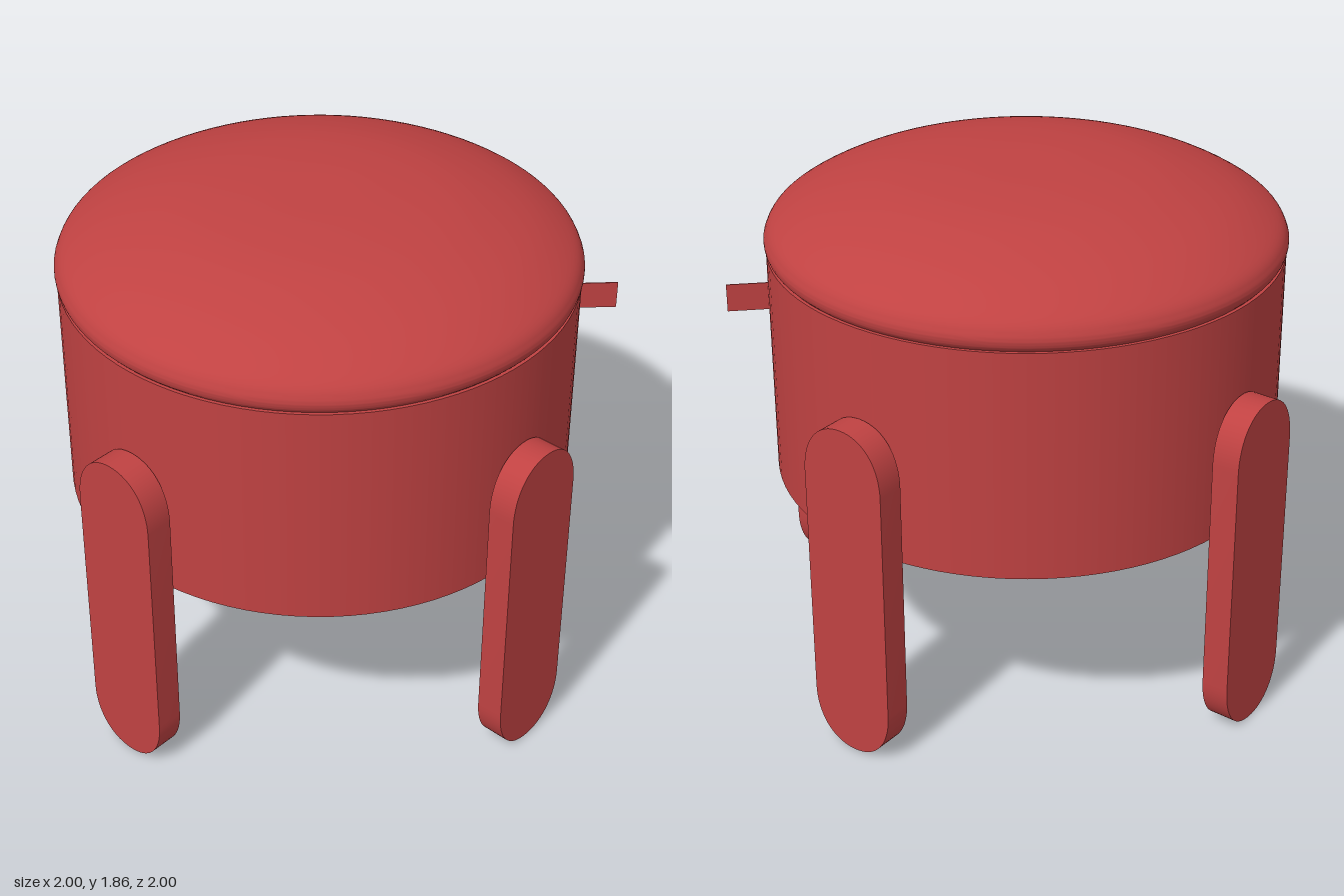
import * as THREE from 'three';
import { toCreasedNormals } from 'three/addons/utils/BufferGeometryUtils.js';

export function createModel() {
  const group = new THREE.Group();
  group.name = 'stool';
  const red = new THREE.MeshStandardMaterial({ color: 0xc04242, side: THREE.DoubleSide });
  red.name = 'red';

  const add = (name, geometry) => {
    const mesh = new THREE.Mesh(geometry, red);
    mesh.name = name;
    group.add(mesh);
    return mesh;
  };

  // Round drum body with closed ends
  const bottom = 0.755, rim = 1.58, radius = 0.897;
  add('body', new THREE.CylinderGeometry(radius, radius, rim - bottom, 96))
    .position.y = (bottom + rim) / 2;

  // Padded seat: rounded rim rising into a shallow dome
  const dome = new THREE.SplineCurve([
    [0.885, 1.58], [0.9, 1.6], [0.9, 1.635], [0.863, 1.685], [0.74, 1.754],
    [0.58, 1.808], [0.42, 1.841], [0.2, 1.86], [0, 1.862],
  ].map(([x, y]) => new THREE.Vector2(x, y))).getPoints(48);
  dome[dome.length - 1].x = 0;
  const seatProfile = [new THREE.Vector2(0, rim), ...dome];
  add('seat', toCreasedNormals(new THREE.LatheGeometry(seatProfile, 96), 0.7));

  // Flat legs with soft rounded ends, one on each side
  const w = 0.163, h = 1.255, end = 0.2, k = 0.6;
  const outline = new THREE.Shape();
  outline.moveTo(w, end);
  outline.lineTo(w, h - end);
  outline.bezierCurveTo(w, h - end * (1 - k), w * k, h, 0, h);
  outline.bezierCurveTo(-w * k, h, -w, h - end * (1 - k), -w, h - end);
  outline.lineTo(-w, end);
  outline.bezierCurveTo(-w, end * (1 - k), -w * k, 0, 0, 0);
  outline.bezierCurveTo(w * k, 0, w, end * (1 - k), w, end);
  const legShape = toCreasedNormals(
    new THREE.ExtrudeGeometry(outline, { depth: 0.1, bevelEnabled: false, curveSegments: 16 }), 0.6);
  const shift = -0.007;
  const legs = [
    ['frontLeg', shift, 0.9, 0], ['leftLeg', 0.9, shift, Math.PI / 2],
    ['backLeg', shift, -0.9, Math.PI], ['rightLeg', -0.9, shift, -Math.PI / 2],
  ];
  for (const [name, x, z, turn] of legs) {
    const leg = add(name, legShape);
    leg.position.set(x, 0, z);
    leg.rotation.y = turn;
  }

  // Thin fabric tab sticking out from the seam at the back left
  const tab = add('tab', new THREE.BoxGeometry(0.15, 0.1, 0.004));
  const r = 0.965;
  tab.position.set(r * Math.SQRT1_2, 1.418, -r * Math.SQRT1_2);
  tab.rotation.y = Math.PI / 4;

  return group;
}
